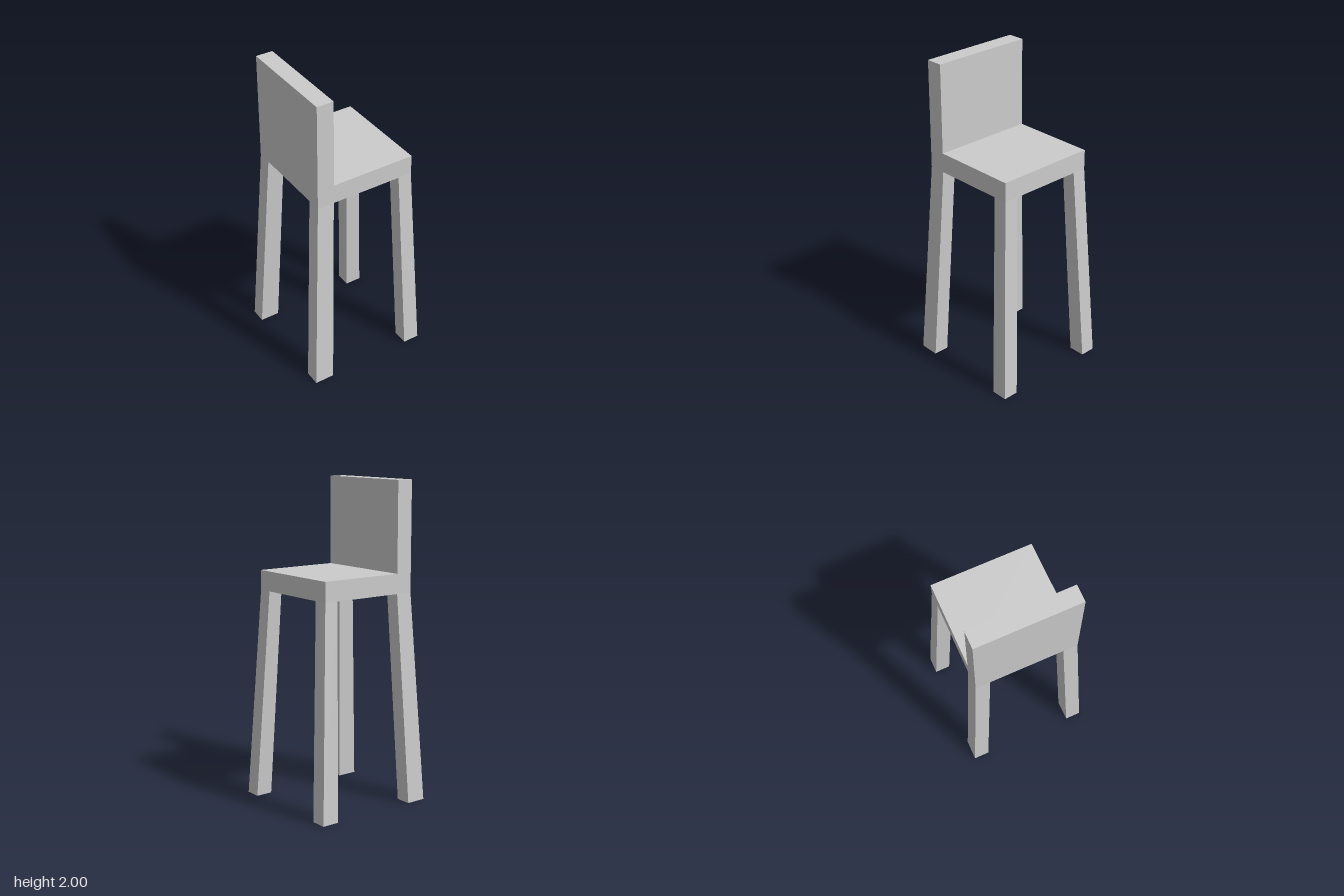
import * as THREE from 'three';

const material = new THREE.MeshStandardMaterial({ color: 0xcccccc, flatShading: true });

const HALF = 0.327;      // half width of the seat
const FOOT = 0.397;      // outer corner of the splayed feet
const SEAT_BOTTOM = 1.317;
const SEAT_TOP = 1.44;

// Tapered leg: its outer corner runs from the seat corner out to the foot.
function makeLeg(name, sx, sz, topDepth, footDepth) {
  const geometry = new THREE.BoxGeometry(1, 1, 1);
  const p = geometry.attributes.position;
  for (let i = 0; i < p.count; i++) {
    const top = p.getY(i) > 0;
    const corner = top ? HALF : FOOT;
    const width = top ? 0.092 : 0.1;
    const depth = top ? topDepth : footDepth;
    const outerX = p.getX(i) * sx > 0;
    const outerZ = p.getZ(i) * sz > 0;
    p.setXYZ(
      i,
      sx * (outerX ? corner : corner - width),
      top ? SEAT_BOTTOM : 0,
      sz * (outerZ ? corner : corner - depth)
    );
  }
  geometry.computeVertexNormals();
  const leg = new THREE.Mesh(geometry, material);
  leg.name = name;
  return leg;
}

export function createModel() {
  const chair = new THREE.Group();
  chair.name = 'highChair';

  // Seat and backrest share one L-shaped side profile (depth, height)
  const profile = new THREE.Shape([
    [-HALF, SEAT_BOTTOM], [HALF, SEAT_BOTTOM], [HALF, 2],
    [HALF - 0.108, 2], [HALF - 0.108, SEAT_TOP], [-HALF, SEAT_TOP],
  ].map(([z, y]) => new THREE.Vector2(z, y)));
  const geometry = new THREE.ExtrudeGeometry(profile, { depth: 2 * HALF, bevelEnabled: false });
  geometry.translate(0, 0, -HALF);
  geometry.rotateY(-Math.PI / 2);
  const body = new THREE.Mesh(geometry, material);
  body.name = 'seatAndBackrest';
  chair.add(body);

  // Legs: the pair below the backrest is deeper
  for (const sx of [-1, 1]) {
    const side = sx > 0 ? 'A' : 'B';
    chair.add(makeLeg('backrestLeg' + side, sx, 1, 0.108, 0.127));
    chair.add(makeLeg('seatLeg' + side, sx, -1, 0.09, 0.107));
  }

  // The chair stands diagonally
  chair.rotation.y = -Math.PI / 4;
  const model = new THREE.Group();
  model.name = 'chair';
  model.add(chair);
  return model;
}
